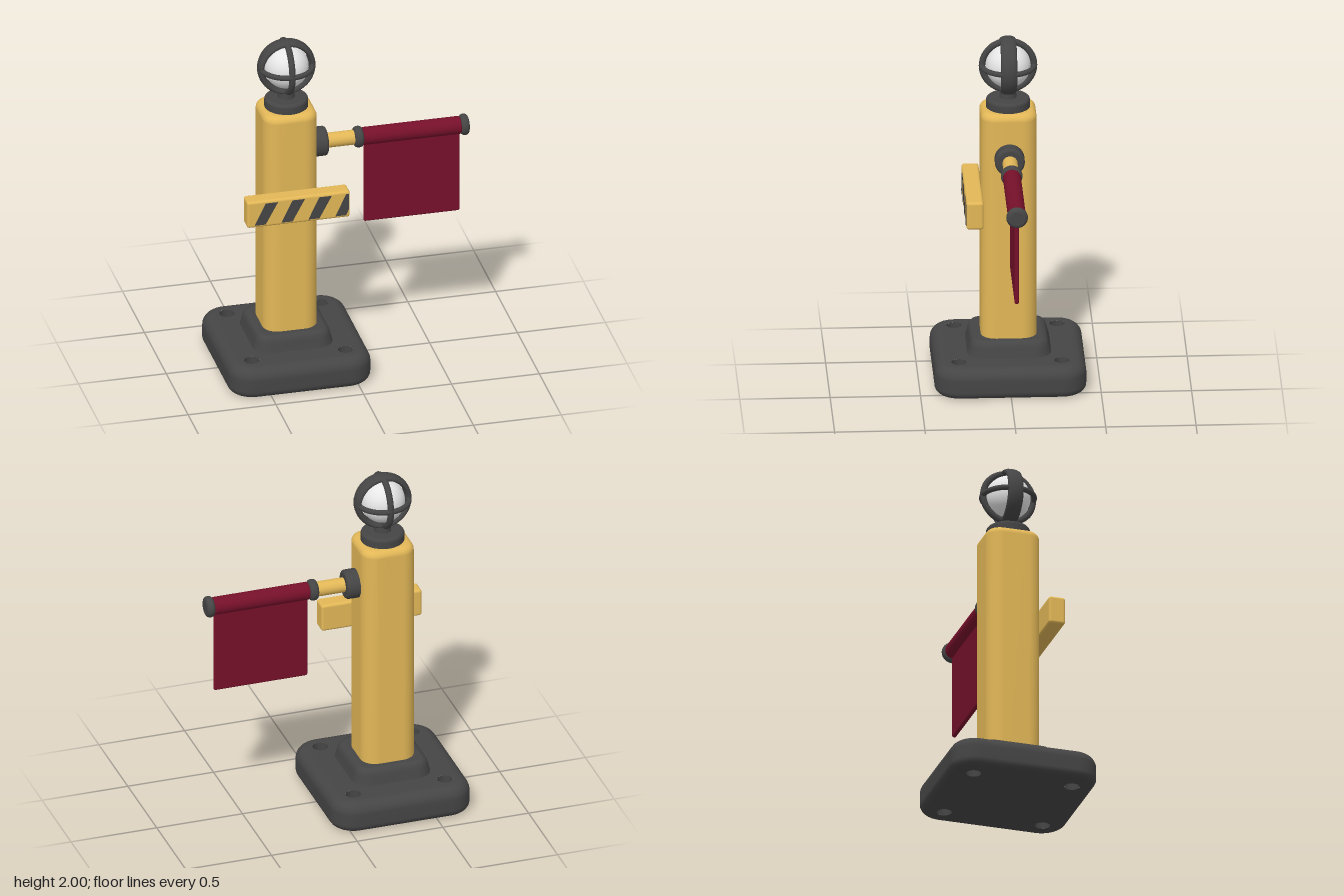
import * as THREE from 'three';
import { RoundedBoxGeometry } from 'three/addons/geometries/RoundedBoxGeometry.js';

const mat = (name, color) => {
  const m = new THREE.MeshStandardMaterial({ color });
  m.name = name;
  return m;
};

// Counter-clockwise outline of a rounded rectangle
function outline(w, d, r) {
  const pts = [];
  [[1, 1], [-1, 1], [-1, -1], [1, -1]].forEach(([sx, sy], c) => {
    for (let i = 0; i <= 8; i++) {
      const a = (c + i / 8) * Math.PI / 2;
      pts.push(new THREE.Vector2(sx * (w / 2 - r) + r * Math.cos(a), sy * (d / 2 - r) + r * Math.sin(a)));
    }
  });
  return pts;
}

// Smooth wall through rounded rectangles, profile = [inset, y] from bottom to top
function wall(w, d, r, profile) {
  const pos = [], idx = [], n = 36;
  profile.forEach(([s, y]) => outline(w - 2 * s, d - 2 * s, r - s).forEach(p => pos.push(p.x, y, -p.y)));
  for (let k = 0; k < profile.length - 1; k++) {
    for (let i = 0; i < n; i++) {
      const a = k * n + i, b = k * n + (i + 1) % n;
      idx.push(a, b, b + n, a, b + n, a + n);
    }
  }
  const g = new THREE.BufferGeometry();
  g.setAttribute('position', new THREE.Float32BufferAttribute(pos, 3));
  g.setIndex(idx);
  g.computeVertexNormals();
  return g;
}

// Quarter-round edge points running inward at the top (dir 1) or outward at the bottom (dir -1)
function round(b, y, dir) {
  const pts = [];
  for (let i = 0; i <= 6; i++) {
    const a = i / 6 * Math.PI / 2;
    pts.push([b * (1 - Math.cos(a)), y + dir * b * (Math.sin(a) - 1)]);
  }
  return dir > 0 ? pts : pts.reverse();
}

// Round-edged disc along y, centred on its middle
function disc(r, h, b) {
  const edge = [...round(b, -h / 2, -1), ...round(b, h / 2, 1)];
  const pts = [[0, -h / 2], ...edge.map(([s, y]) => [r - s, y]), [0, h / 2]];
  return new THREE.LatheGeometry(pts.map(p => new THREE.Vector2(...p)), 40);
}

export function createModel() {
  const dark = mat('dark metal', 0x454545);
  const yellow = mat('yellow paint', 0xe2b757);
  const red = mat('red cloth', 0x76102a);
  const white = mat('white glass', 0xe6e6e6);

  const model = new THREE.Group();
  const add = (name, geo, material, x = 0, y = 0, z = 0, parent = model) => {
    const m = new THREE.Mesh(geo, material);
    m.name = name;
    m.position.set(x, y, z);
    parent.add(m);
    return m;
  };
  const X = -0.317;

  // Solid with rounded-rectangle section, optional bolt holes
  const block = (name, w, d, r, profile, material, holes = []) => {
    const g = new THREE.Group();
    g.name = name;
    g.position.x = X;
    model.add(g);
    add(name + 'Side', wall(w, d, r, profile), material, 0, 0, 0, g);
    [profile[0], profile[profile.length - 1]].forEach(([s, y], i) => {
      const shape = new THREE.Shape(outline(w - 2 * s, d - 2 * s, r - s));
      for (const [hx, hz, hr] of holes) shape.holes.push(new THREE.Path().absarc(hx, hz, hr, 0, Math.PI * 2, true));
      const cap = new THREE.ShapeGeometry(shape, 24).rotateX(i ? -Math.PI / 2 : Math.PI / 2);
      add(name + (i ? 'Top' : 'Bottom'), cap, material, 0, y, 0, g);
    });
    return g;
  };

  // Base plate with four bolt holes
  const holes = [];
  for (const sx of [-1, 1]) for (const sz of [-1, 1]) holes.push([sx * 0.267, sz * 0.285, 0.042]);
  const base = block('basePlate', 0.81, 0.84, 0.14,
    [...round(0.045, 0, -1), ...round(0.065, 0.177, 1)], dark, holes);
  for (const [hx, hz, hr] of holes) {
    const g = new THREE.CylinderGeometry(hr, hr, 0.177, 24, 1, true).scale(-1, 1, 1); // faces inward
    g.computeVertexNormals();
    add('boltHole', g, dark, hx, 0.0885, hz, base);
  }

  // Stepped foot and post
  block('postFoot', 0.46, 0.47, 0.1,
    [[0, 0.17], [0.007, 0.19], [0.016, 0.225], [0.022, 0.245], [0.034, 0.259], [0.052, 0.265]], dark);
  block('post', 0.308, 0.31, 0.085, [[0, 0.24], ...round(0.04, 1.595, 1)], yellow);

  // Lamp: collar, neck, globe and cage
  add('lampCollar', disc(0.122, 0.075, 0.02), dark, X, 1.613, 0);
  add('lampNeck', new THREE.CylinderGeometry(0.04, 0.05, 0.08, 24), dark, X, 1.675, 0);
  add('lampGlobe', new THREE.SphereGeometry(0.125, 40, 28), white, X, 1.837, 0);
  const cage = new THREE.Group();
  cage.name = 'lampCage';
  cage.position.set(X, 1.837, 0);
  model.add(cage);
  add('wideHoop', new THREE.TorusGeometry(0.146, 0.018, 12, 48).scale(1, 1, 2.5), dark, 0, 0, 0, cage);
  add('sideHoop', new THREE.TorusGeometry(0.144, 0.018, 12, 48).rotateY(Math.PI / 2), dark, 0, 0, 0, cage);
  add('levelHoop', new THREE.TorusGeometry(0.146, 0.015, 12, 48).rotateX(Math.PI / 2), dark, 0, 0, 0, cage);

  // Sideways arm with its discs and the rolled cloth
  const armY = 1.343;
  const along = (name, geo, material, x) => add(name, geo.rotateZ(-Math.PI / 2), material, x, armY, 0);
  along('armSocket', disc(0.083, 0.09, 0.018), dark, -0.134);
  along('arm', new THREE.CylinderGeometry(0.042, 0.042, 0.26, 32), yellow, 0, 0);
  along('innerStop', disc(0.06, 0.052, 0.022), dark, 0.092);
  along('clothRoll', disc(0.05, 0.555, 0.006), red, 0.395);
  along('endStop', disc(0.06, 0.048, 0.022), dark, 0.695);
  add('flag', new RoundedBoxGeometry(0.546, 0.5, 0.024, 3, 0.01), red, 0.396, 1.063, 0);

  // Warning board with slanted stripes
  add('warningBoard', new RoundedBoxGeometry(0.586, 0.162, 0.095, 4, 0.015), yellow, -0.306, 1.06, 0.197);
  for (let i = 0; i < 4; i++) {
    const x = -0.557 + i * 0.153, lim = -0.022;
    const pts = i < 3
      ? [[x, 0.995], [x + 0.062, 0.995], [x + 0.132, 1.125], [x + 0.062, 1.125]]
      : [[x, 0.995], [x + 0.062, 0.995], [lim, 1.03], [lim, 1.125], [x + 0.062, 1.125]];
    const shape = new THREE.Shape(pts.map(p => new THREE.Vector2(...p)));
    add('boardStripe', new THREE.ExtrudeGeometry(shape, { depth: 0.006, bevelEnabled: false }), dark, 0, 0, 0.241);
  }
  return model;
}
